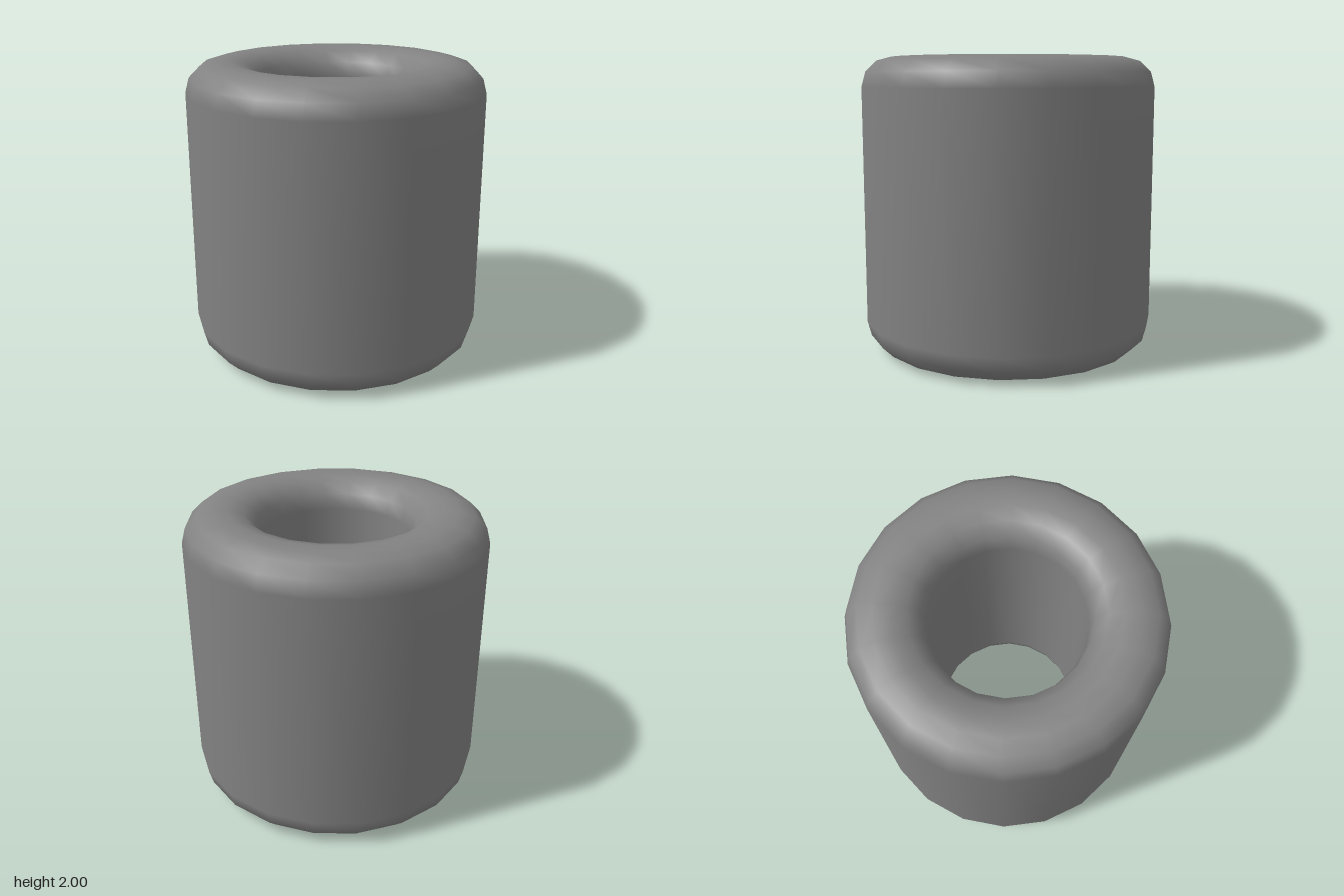
import * as THREE from 'three';

const INNER = 0.5, OUTER = 1, HEIGHT = 2, FILLET = 0.2, FILLET_STEPS = 3, SIDES = 20;

// Rounded corner of the wall section: centre and starting angle, turning a quarter circle
function corner(cx, cy, start) {
  const points = [];
  for (let i = 0; i <= FILLET_STEPS; i++) {
    const a = start + (i / FILLET_STEPS) * Math.PI / 2;
    points.push(new THREE.Vector2(cx + FILLET * Math.cos(a), cy + FILLET * Math.sin(a)));
  }
  return points;
}

export function createModel() {
  const group = new THREE.Group();
  group.name = 'roundedTube';

  // Closed wall section, starting and ending in the middle of the flat bottom
  const seam = new THREE.Vector2((INNER + OUTER) / 2, 0);
  const profile = [
    seam,
    ...corner(OUTER - FILLET, FILLET, -Math.PI / 2),
    ...corner(OUTER - FILLET, HEIGHT - FILLET, 0),
    ...corner(INNER + FILLET, HEIGHT - FILLET, Math.PI / 2),
    ...corner(INNER + FILLET, FILLET, Math.PI),
    seam.clone(),
  ];

  // Thick dark grey tube with filleted rims, open all the way through
  const tube = new THREE.Mesh(
    new THREE.LatheGeometry(profile, SIDES),
    new THREE.MeshStandardMaterial({ color: 0x828282 })
  );
  tube.name = 'tubeWall';
  group.add(tube);
  return group;
}
